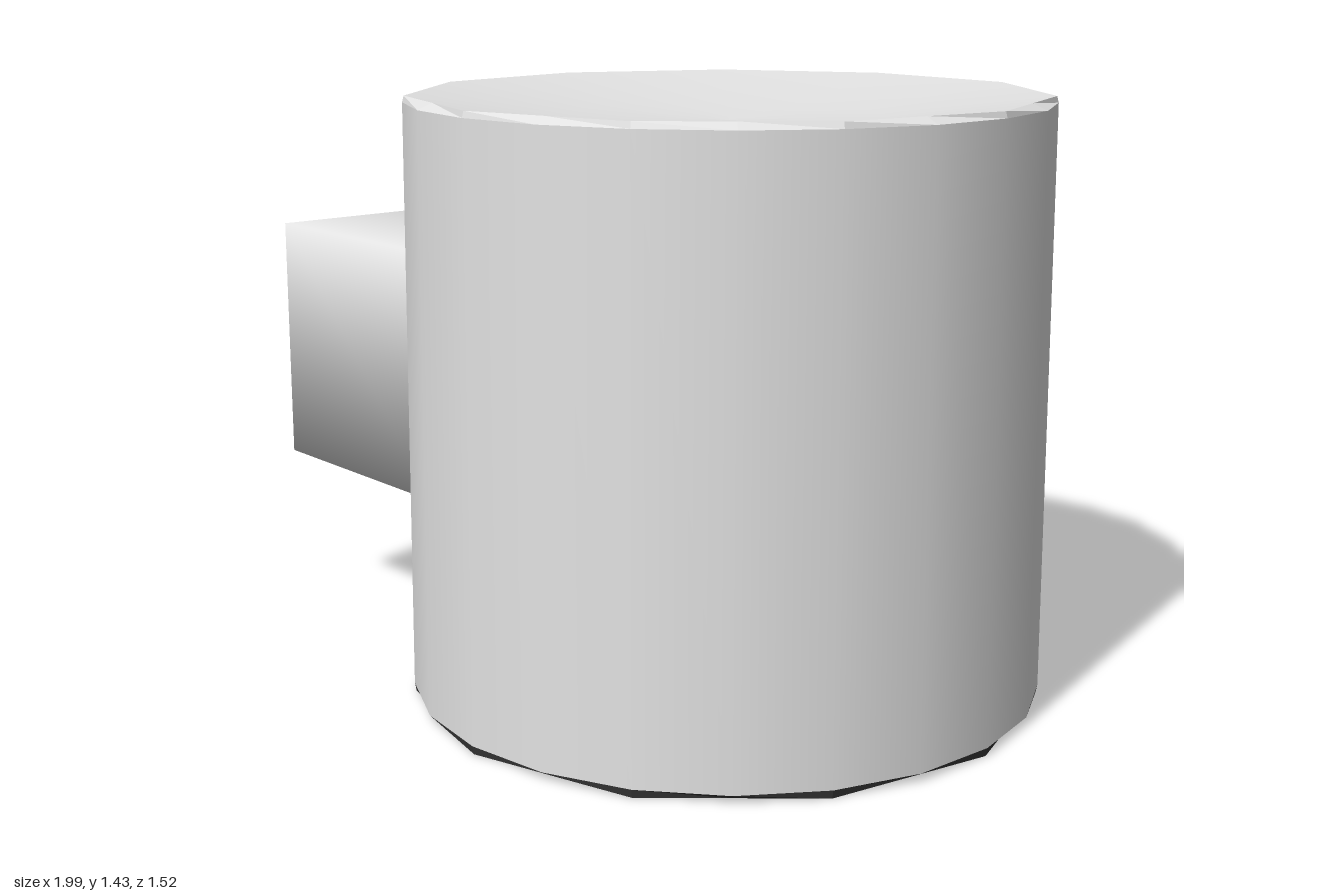
import * as THREE from 'three';

const grey = new THREE.MeshStandardMaterial({ name: 'light grey', color: 0xe2e2e2, side: THREE.DoubleSide });
const dark = new THREE.MeshStandardMaterial({ name: 'charcoal', color: 0x363636 });
const black = new THREE.MeshStandardMaterial({ name: 'black', color: 0x040404 });

const SIDES = 22;
const R = 0.757;

// surface of revolution from [radius, height] pairs, listed bottom to top
function turned(name, profile, sides, material, parent) {
  const geo = new THREE.LatheGeometry(profile.map(([r, y]) => new THREE.Vector2(r, y)), sides);
  const mesh = new THREE.Mesh(geo, material);
  mesh.name = name;
  parent.add(mesh);
  return mesh;
}

// rough chamfer: between corners its inner edge is pulled in onto the chord of the end face
function roughRim(name, yWall, yFace, rWall, material, parent) {
  const up = yFace > yWall;
  const profile = up ? [[rWall, yWall], [rWall - 0.004, yFace]] : [[rWall - 0.004, yFace], [rWall, yWall]];
  const mesh = turned(name, profile, SIDES, material, parent);
  const pos = mesh.geometry.attributes.position;
  const pull = Math.cos((2 * Math.PI) / SIDES);
  for (let i = 1; i <= SIDES; i += 2) {
    const v = i * 2 + (up ? 1 : 0);
    pos.setX(v, pos.getX(v) * pull);
    pos.setZ(v, pos.getZ(v) * pull);
  }
  const flat = mesh.geometry.toNonIndexed();
  flat.computeVertexNormals();
  mesh.geometry = flat;
}

export function createModel() {
  const model = new THREE.Group();
  model.name = 'chamberWithDuct';

  // round chamber
  const chamber = new THREE.Group();
  chamber.name = 'chamber';
  chamber.position.x = 0.24;
  model.add(chamber);
  turned('chamberWall', [[R + 0.004, 0.02], [R - 0.003, 1.42]], SIDES, grey, chamber);
  roughRim('topRim', 1.42, 1.435, R - 0.003, grey, chamber);

  // dished lid
  turned('lid', [[R - 0.007, 1.435], [0.37, 1.385], [0, 1.37]], SIDES / 2, grey, chamber);

  // dark underside, rising to a black centre
  roughRim('bottomRim', 0.02, 0, R + 0.004, dark, chamber);
  turned('underside', [[0.38, 0.08], [R, 0]], SIDES / 2, dark, chamber);
  turned('undersideCentre', [[0, 0.08], [0.38, 0.08]], SIDES / 2, black, chamber);

  // square duct with an open end, softly shaded across its corners
  const x0 = -1, x1 = -0.335;
  const ductGeo = new THREE.CylinderGeometry(Math.SQRT1_2, Math.SQRT1_2, 1, 4, 1, true, Math.PI / 4);
  ductGeo.rotateZ(Math.PI / 2);
  ductGeo.scale(x1 - x0, 0.625, 0.945);
  const duct = new THREE.Mesh(ductGeo, grey);
  duct.name = 'duct';
  duct.position.set((x0 + x1) / 2, 0.723, -0.003);
  model.add(duct);

  return model;
}
